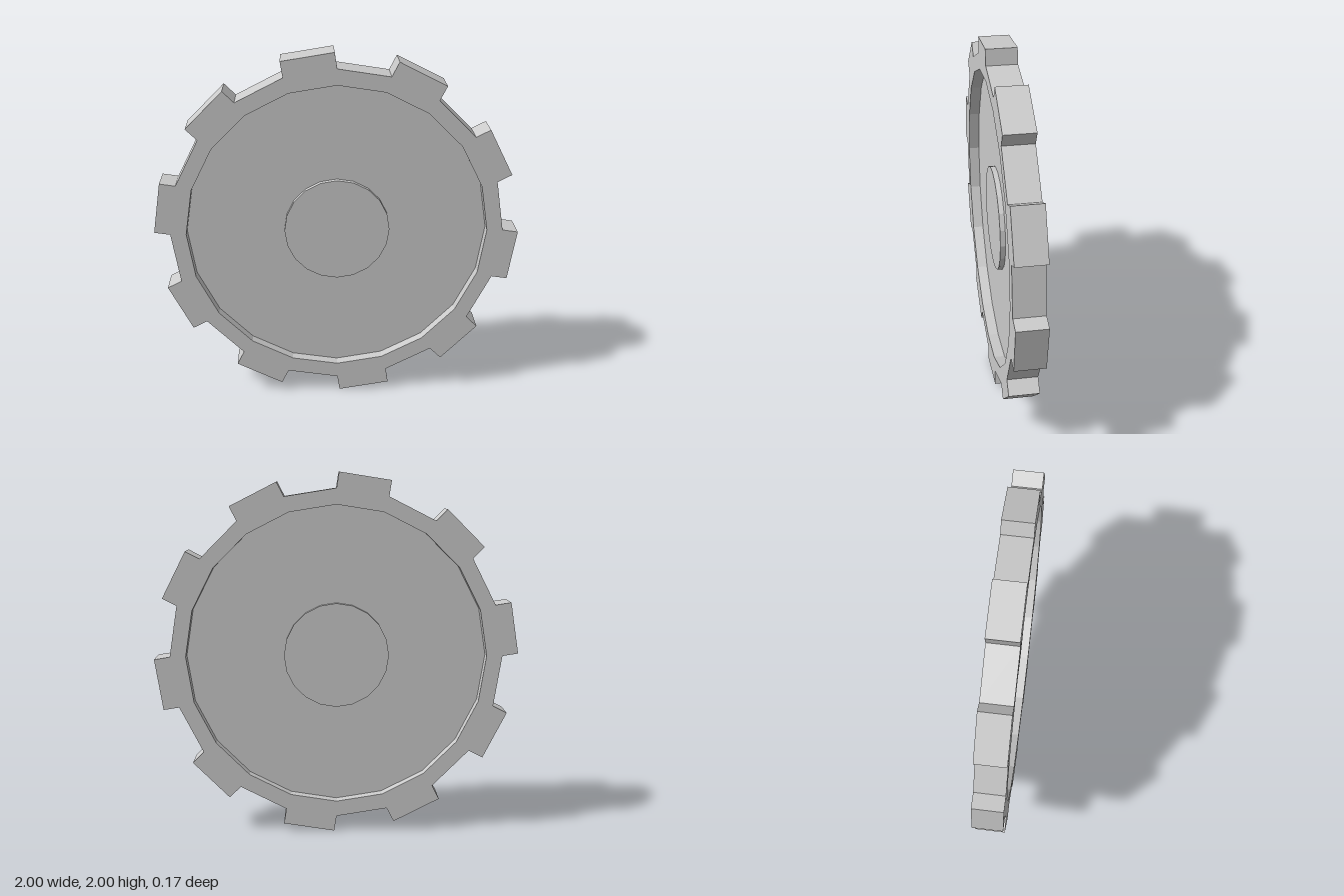
import * as THREE from 'three';

const SIDES = 20, ROOT = 0.914, TIP = 0.99, INNER = 0.827;
const HALF = 0.083, WEB_HALF = 0.023, HUB_HALF = 0.051;

export function createModel() {
  const group = new THREE.Group();
  group.name = 'gear';
  const material = new THREE.MeshStandardMaterial({ color: 0xcccccc, flatShading: true });

  const add = (name, geometry) => {
    const mesh = new THREE.Mesh(geometry, material);
    mesh.name = name;
    mesh.position.y = 1;
    group.add(mesh);
  };
  const corner = (i, r) => {
    const a = Math.PI / 2 + (i * 2 * Math.PI) / SIDES;
    return new THREE.Vector2(Math.cos(a) * r, Math.sin(a) * r);
  };

  // Toothed rim: every second edge of the polygon is pushed straight outward
  const outline = [];
  const step = Math.PI / SIDES;
  const rise = TIP - ROOT * Math.cos(step);
  for (let i = 0; i < SIDES; i += 2) {
    const a = corner(i, ROOT), b = corner(i + 1, ROOT);
    const out = a.clone().add(b).normalize().multiplyScalar(rise);
    outline.push(a, a.clone().add(out), b.clone().add(out), b);
  }
  const shape = new THREE.Shape(outline);
  const hole = [];
  for (let i = 0; i < SIDES; i++) hole.push(corner(-i, INNER));
  shape.holes.push(new THREE.Path(hole));
  const rim = new THREE.ExtrudeGeometry(shape, { depth: HALF * 2, bevelEnabled: false });
  rim.translate(0, 0, -HALF);
  add('toothedRim', rim);

  // Recessed web and the raised hub, the same on front and back
  const disc = (r, half) => new THREE.CylinderGeometry(r, r, half * 2, SIDES).rotateX(Math.PI / 2);
  add('web', disc(INNER, WEB_HALF));
  add('hub', disc(0.29, HUB_HALF));

  return group;
}
